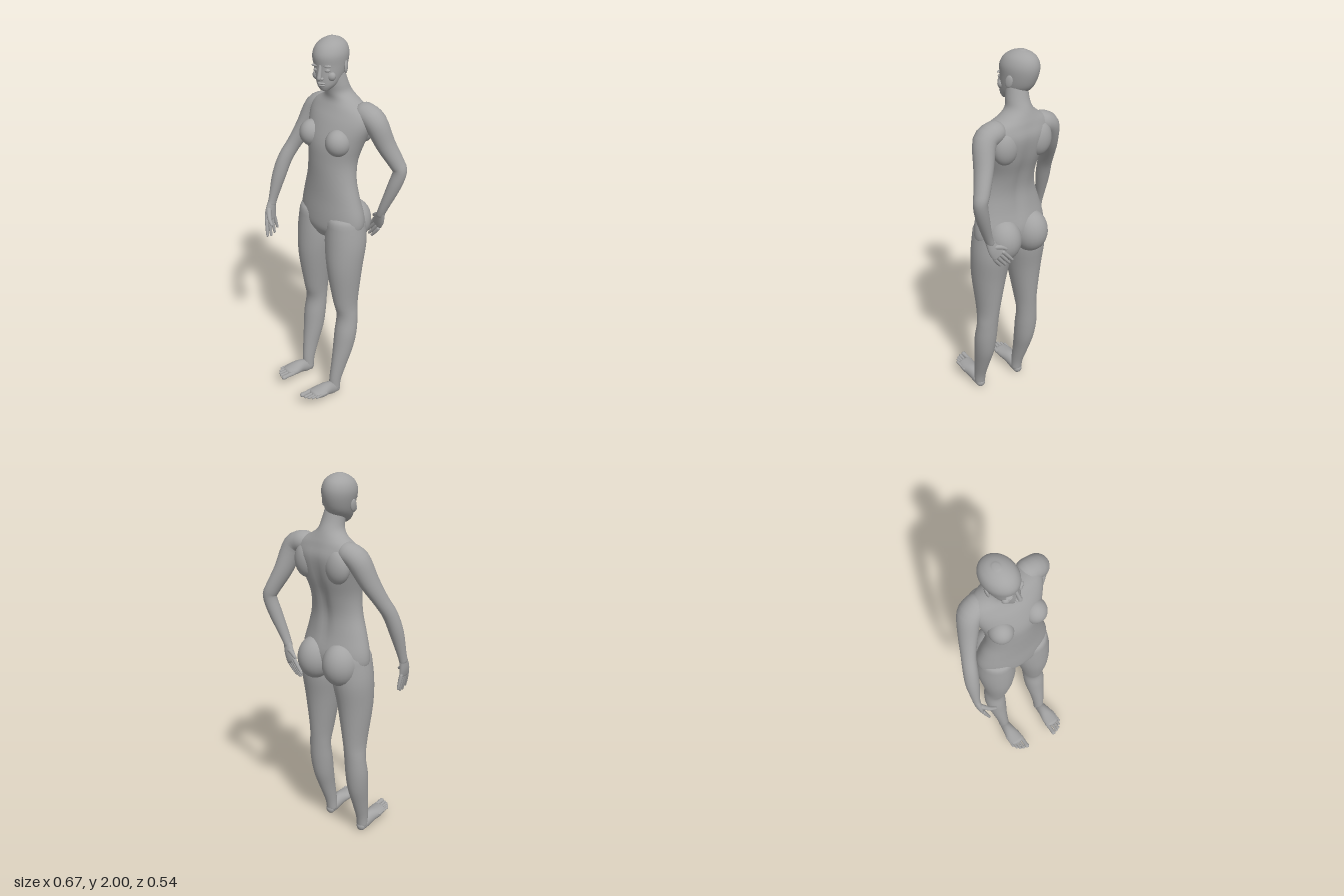
import * as THREE from 'three';

const skin = new THREE.MeshStandardMaterial({ color: 0xa3a3a3 });
skin.name = 'plain grey';
const X = new THREE.Vector3(1, 0, 0), Y = new THREE.Vector3(0, 1, 0), Z = new THREE.Vector3(0, 0, 1);

// Smoothly resample rows of [x, y, z, a, b]
function resample(rows, steps) {
  const out = [], at = i => rows[Math.min(rows.length - 1, Math.max(0, i))];
  for (let i = 0; i < rows.length - 1; i++) {
    for (let k = 0; k < steps; k++) {
      const t = k / steps;
      out.push(rows[0].map((_, c) => {
        const [p, q, r, s] = [at(i - 1)[c], at(i)[c], at(i + 1)[c], at(i + 2)[c]];
        return q + 0.5 * t * (r - p + t * (2 * p - 5 * q + 4 * r - s + t * (3 * (q - r) + s - p)));
      }));
    }
  }
  out.push(rows[rows.length - 1]);
  return out;
}

// Skin over elliptical rings; b is measured along ref, a across it. Ends are domed.
function loft(name, rows, { ref = Z, axis = null, n = 24, steps = 4, cap = 1, shape = null } = {}) {
  const s = resample(rows, steps);
  const centre = s.map(r => new THREE.Vector3(r[0], r[1], r[2]));
  const rings = s.map((r, i) => {
    const t = axis ? axis.clone() : centre[Math.min(i + 1, s.length - 1)].clone()
      .sub(centre[Math.max(i - 1, 0)]).normalize();
    return { c: centre[i], t, a: r[3], b: r[4] };
  });
  const dome = (e, sign) => [1, 2, 3, 4].map(k => {
    const f = k * Math.PI / 8, h = Math.min(e.a, e.b) * cap * Math.sin(f) * sign;
    return { c: e.c.clone().addScaledVector(e.t, h), t: e.t, a: e.a * Math.cos(f), b: e.b * Math.cos(f) };
  });
  const all = [...dome(rings[0], -1).reverse(), ...rings, ...dome(rings[rings.length - 1], 1)];
  const pos = [], index = [];
  all.forEach((r, i) => {
    const side = ref.clone().cross(r.t).normalize(), up = r.t.clone().cross(side);
    for (let j = 0; j < n; j++) {
      const f = j / n * Math.PI * 2;
      const p = r.c.clone().addScaledVector(side, r.a * Math.cos(f)).addScaledVector(up, r.b * Math.sin(f));
      if (shape) shape(p);
      pos.push(p.x, p.y, p.z);
      if (i < all.length - 1) {
        const a = i * n + j, b = i * n + (j + 1) % n;
        index.push(a, b, b + n, a, b + n, a + n);
      }
    }
  });
  const g = new THREE.BufferGeometry();
  g.setAttribute('position', new THREE.Float32BufferAttribute(pos, 3));
  g.setIndex(index);
  g.computeVertexNormals();
  const m = new THREE.Mesh(g, skin);
  m.name = name;
  return m;
}

function ellipsoid(name, [x, y, z], [rx, ry, rz], rotX = 0) {
  const m = new THREE.Mesh(new THREE.SphereGeometry(1, 24, 16), skin);
  m.name = name;
  m.position.set(x, y, z);
  m.scale.set(rx, ry, rz);
  m.rotation.x = rotX;
  return m;
}

const mix = (p, q, t) => p.map((v, i) => v + (q[i] - v) * t);

// Four fingers fanned between a first and last base and tip
function fingers(name, base0, base1, tip0, tip1) {
  const g = new THREE.Group();
  g.name = name;
  for (let i = 0; i < 4; i++) {
    const base = mix(base0, base1, i / 3);
    const tip = mix(base, mix(tip0, tip1, i / 3), [0.98, 1.12, 1.08, 0.88][i]);
    g.add(loft('finger', [[...base, 0.01, 0.01], [...mix(base, tip, 0.5), 0.0095, 0.0095], [...tip, 0.007, 0.007]],
      { n: 10, ref: Z }));
  }
  return g;
}

function makeHead() {
  const head = new THREE.Group();
  head.name = 'head';
  head.add(loft('skull', [
    [0, -0.114, 0.058, 0.024, 0.026], [0, -0.09, 0.036, 0.048, 0.057], [0, -0.05, 0.009, 0.066, 0.086],
    [0, 0, -0.005, 0.078, 0.098], [0, 0.05, -0.008, 0.084, 0.104], [0, 0.09, -0.012, 0.072, 0.088],
    [0, 0.115, -0.015, 0.046, 0.056], [0, 0.126, -0.015, 0.02, 0.024],
  ], { axis: Y, n: 32, cap: 0.2 }));
  head.add(loft('nose', [[0, 0.01, 0.088, 0.008, 0.008], [0, -0.025, 0.1, 0.009, 0.01], [0, -0.048, 0.108, 0.011, 0.011]],
    { n: 14 }));
  head.add(ellipsoid('upperLip', [0, -0.076, 0.093], [0.022, 0.006, 0.01]));
  head.add(ellipsoid('lowerLip', [0, -0.087, 0.09], [0.019, 0.007, 0.01]));
  for (const s of [-1, 1]) {
    head.add(ellipsoid('nostril', [s * 0.01, -0.052, 0.097], [0.008, 0.007, 0.01]));
    head.add(ellipsoid('eye', [s * 0.031, -0.014, 0.079], [0.016, 0.009, 0.012]));
    head.add(ellipsoid('brow', [s * 0.032, 0.008, 0.08], [0.024, 0.006, 0.012]));
    head.add(ellipsoid('cheek', [s * 0.04, -0.045, 0.062], [0.024, 0.024, 0.02]));
    const ear = ellipsoid('ear', [s * 0.08, -0.014, -0.012], [0.008, 0.031, 0.019], -0.15);
    ear.rotation.y = s * 0.3;
    head.add(ear);
  }
  head.position.set(-0.038, 1.873, -0.075);
  head.rotation.set(0, 0.25, 0.08);
  return head;
}

function makeLeg(s) {
  const leg = new THREE.Group();
  leg.name = s > 0 ? 'leftLeg' : 'rightLeg';
  // The left leg stands slightly wider and further forward
  const place = rows => rows.map(([x, y, z, a, b]) => {
    const k = Math.max(0, 1 - y / 0.9);
    return [s * x + (s > 0 ? 0.011 * k : 0), y, z + s * 0.012 * k, a, b];
  });
  leg.add(loft('thighAndCalf', place([
    [0.118, 0.04, 0.03, 0.03, 0.03], [0.12, 0.1, 0.025, 0.031, 0.037], [0.125, 0.2, 0, 0.04, 0.05],
    [0.128, 0.3, -0.025, 0.053, 0.06], [0.13, 0.4, -0.04, 0.06, 0.062], [0.127, 0.5, -0.052, 0.058, 0.058],
    [0.12, 0.6, -0.045, 0.061, 0.074], [0.114, 0.8, -0.04, 0.09, 0.1], [0.107, 0.95, -0.052, 0.107, 0.112],
    [0.102, 1.08, -0.055, 0.098, 0.105],
  ]), { axis: Y, cap: 0.5 }));
  leg.add(loft('foot', place([
    [0.119, 0.033, 0.018, 0.026, 0.028], [0.12, 0.05, 0.06, 0.031, 0.04], [0.121, 0.064, 0.1, 0.037, 0.036],
    [0.121, 0.069, 0.145, 0.045, 0.028], [0.118, 0.073, 0.185, 0.042, 0.02],
  ]), { axis: Z, ref: Y, cap: 0.8 }));
  for (let i = 0; i < 5; i++) {
    const x = [0.087, 0.111, 0.129, 0.145, 0.159][i], tip = [0.245, 0.242, 0.234, 0.219, 0.2][i];
    const r = [0.014, 0.0095, 0.009, 0.0085, 0.008][i];
    leg.add(loft('toe', place([
      [x, 0.072, tip - 0.07, r, r], [x, 0.076, tip - 0.03, r * 0.85, r * 0.85], [x, 0.079, tip, r, r * 0.9],
    ]), { ref: Y, n: 12 }));
  }
  return leg;
}

function makeArm(name, arm, palm, thumb, fan) {
  const g = new THREE.Group();
  g.name = name;
  g.add(loft('upperArmAndForearm', arm), loft('palm', palm, { n: 18 }));
  g.add(loft('thumb', thumb, { n: 12, ref: Y }), fingers('fingers', ...fan));
  return g;
}

export function createModel() {
  const body = new THREE.Group();
  body.name = 'figure';

  // Torso with a hollow along the spine
  body.add(loft('torsoAndNeck', [
    [0, 0.985, -0.055, 0.12, 0.085], [0, 1.03, -0.058, 0.195, 0.108], [0, 1.1, -0.06, 0.205, 0.112],
    [0, 1.2, -0.053, 0.18, 0.1], [0.002, 1.3, -0.05, 0.152, 0.097], [0, 1.4, -0.06, 0.145, 0.108],
    [0.002, 1.5, -0.08, 0.167, 0.122], [0.005, 1.6, -0.107, 0.195, 0.112], [0.003, 1.66, -0.117, 0.18, 0.088],
    [-0.008, 1.7, -0.12, 0.11, 0.072], [-0.016, 1.735, -0.112, 0.067, 0.066], [-0.018, 1.78, -0.097, 0.057, 0.06],
    [-0.025, 1.84, -0.08, 0.054, 0.058],
  ], {
    axis: Y, n: 48, cap: 0.35, shape: p => {
      if (p.z < -0.1 && p.y > 1.1 && p.y < 1.68)
        p.z += 0.016 * Math.exp(-((p.x / 0.03) ** 2)) * Math.sin((p.y - 1.1) / 0.58 * Math.PI);
    },
  }));
  for (const s of [-1, 1]) {
    body.add(ellipsoid('chest', [s * 0.095, 1.515, -0.002], [0.062, 0.07, 0.066], 0.35));
    body.add(ellipsoid('buttock', [s * 0.085, 1.045, -0.125], [0.093, 0.115, 0.1]));
    body.add(ellipsoid('shoulderBlade', [s * 0.1, 1.57, -0.165], [0.07, 0.09, 0.052]));
    body.add(makeLeg(s));
  }
  body.add(makeHead());

  // Right arm hangs slightly forward
  body.add(makeArm('rightArm', [
    [-0.14, 1.635, -0.13, 0.055, 0.06], [-0.19, 1.605, -0.118, 0.056, 0.064], [-0.229, 1.5, -0.08, 0.046, 0.055],
    [-0.265, 1.4, -0.03, 0.036, 0.043], [-0.288, 1.32, 0.015, 0.037, 0.04], [-0.304, 1.22, 0.05, 0.036, 0.037],
    [-0.315, 1.1, 0.083, 0.022, 0.027], [-0.317, 1.06, 0.095, 0.019, 0.026],
  ], [
    [-0.317, 1.07, 0.093, 0.018, 0.025], [-0.316, 1.02, 0.106, 0.017, 0.035], [-0.312, 0.98, 0.112, 0.012, 0.038],
  ], [
    [-0.312, 1.035, 0.122, 0.014, 0.014], [-0.275, 1.0, 0.148, 0.011, 0.011], [-0.245, 0.98, 0.158, 0.008, 0.008],
  ], [[-0.308, 0.975, 0.142], [-0.315, 0.98, 0.082], [-0.285, 0.895, 0.158], [-0.308, 0.9, 0.066]]));

  // Left arm bends back with the hand resting behind the hip
  body.add(makeArm('leftArm', [
    [0.145, 1.65, -0.138, 0.055, 0.06], [0.205, 1.62, -0.145, 0.057, 0.06], [0.243, 1.5, -0.187, 0.046, 0.052],
    [0.284, 1.4, -0.228, 0.038, 0.042], [0.298, 1.355, -0.237, 0.036, 0.036], [0.277, 1.27, -0.222, 0.034, 0.036],
    [0.235, 1.15, -0.2, 0.024, 0.027], [0.215, 1.1, -0.196, 0.021, 0.022],
  ], [
    [0.22, 1.11, -0.196, 0.022, 0.018], [0.199, 1.06, -0.205, 0.033, 0.016], [0.177, 1.025, -0.211, 0.036, 0.012],
  ], [
    [0.195, 1.075, -0.208, 0.013, 0.013], [0.165, 1.07, -0.22, 0.011, 0.011], [0.14, 1.055, -0.226, 0.008, 0.008],
  ], [[0.151, 1.035, -0.218], [0.195, 1.0, -0.205], [0.098, 0.975, -0.222], [0.152, 0.945, -0.196]]));

  return body;
}
